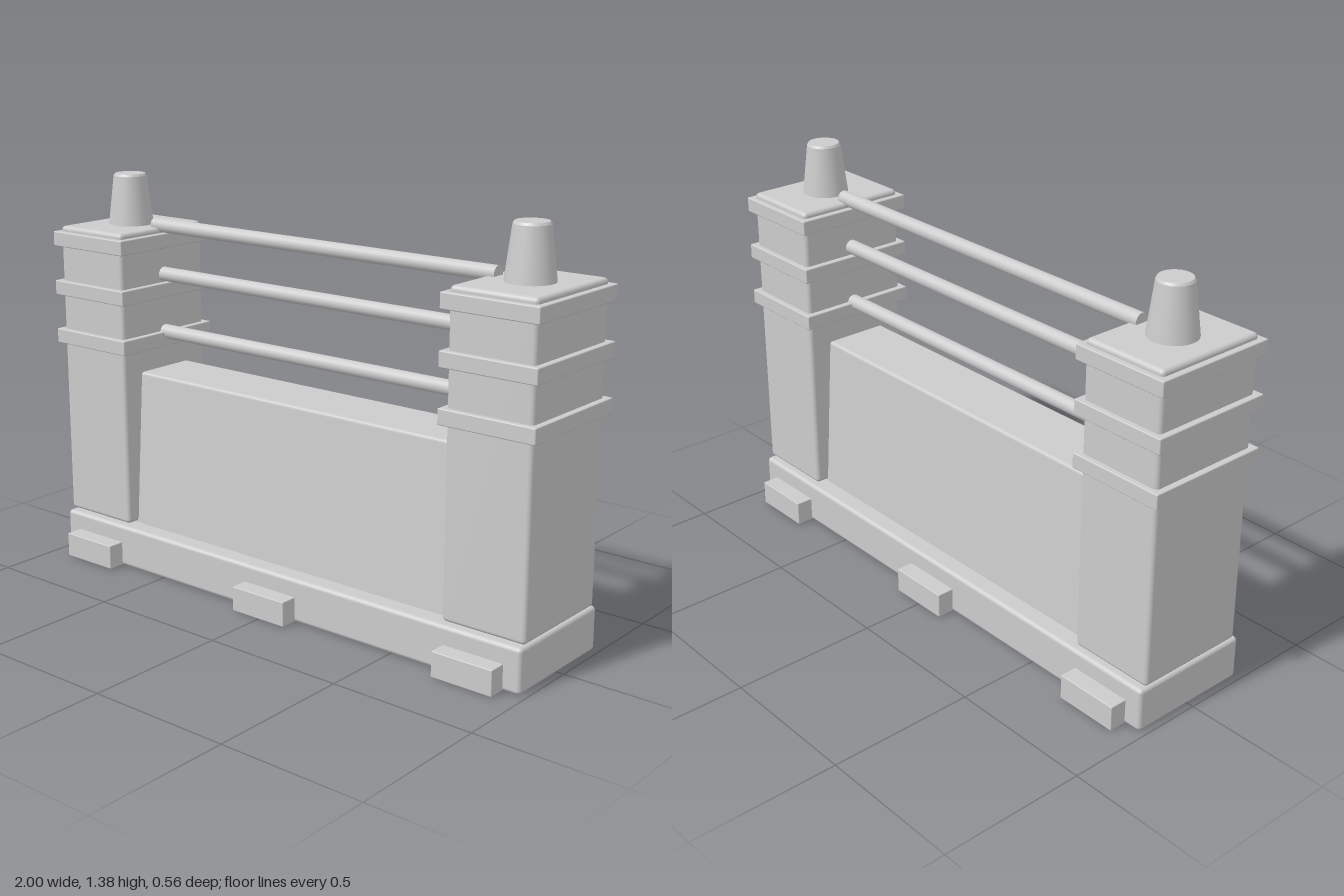
import * as THREE from 'three';
import { RoundedBoxGeometry } from 'three/addons/geometries/RoundedBoxGeometry.js';

export function createModel() {
  const model = new THREE.Group();
  model.name = 'barrier';
  const grey = new THREE.MeshStandardMaterial({ color: 0xcccccc });
  grey.name = 'light grey';

  function add(name, geometry, x, y, z, parent = model) {
    const mesh = new THREE.Mesh(geometry, grey);
    mesh.name = name;
    mesh.position.set(x, y, z);
    parent.add(mesh);
    return mesh;
  }
  const rounded = (w, h, d, r) => new RoundedBoxGeometry(w, h, d, 3, r);

  // Long plinth with three feet sticking out of each long side
  add('base', rounded(1.96, 0.15, 0.44, 0.014), 0, 0.075, 0);
  for (const x of [-0.81, 0, 0.81]) {
    for (const side of [-1, 1]) {
      add('foot', rounded(0.22, 0.086, 0.1, 0.003), x, 0.045, side * 0.23);
    }
  }

  // Tapered wall: a trapezoid section with softened top corners, run along x
  const section = new THREE.Shape();
  section.moveTo(-0.155, 0.14);
  section.lineTo(0.155, 0.14);
  section.lineTo(0.116, 0.69);
  section.quadraticCurveTo(0.115, 0.7, 0.105, 0.7);
  section.lineTo(-0.105, 0.7);
  section.quadraticCurveTo(-0.115, 0.7, -0.116, 0.69);
  section.closePath();
  const wall = new THREE.ExtrudeGeometry(section, { depth: 1.4, bevelEnabled: false, curveSegments: 4 });
  wall.translate(0, 0, -0.7);
  wall.rotateY(Math.PI / 2);
  add('wall', wall, 0, 0, 0);

  // Banded pillars with a tapered cap at each end
  const cap = new THREE.LatheGeometry(
    [[0, 0], [0.079, 0], [0.079, 0], [0.058, 0.17], [0.058, 0.17], [0.053, 0.178], [0.053, 0.178], [0, 0.178]]
      .map(([r, y]) => new THREE.Vector2(r, y)), 32);
  for (const side of [-1, 1]) {
    const pillar = new THREE.Group();
    pillar.name = side > 0 ? 'leftPillar' : 'rightPillar';
    pillar.position.x = side * 0.83;
    model.add(pillar);
    add('post', rounded(0.3, 1.046, 0.4, 0.014), 0, 0.677, 0, pillar);
    for (const y of [0.805, 0.98, 1.155]) {
      add('band', rounded(0.34, 0.052, 0.436, 0.004), 0, y, 0, pillar);
    }
    add('cap', cap, 0, 1.2, 0, pillar);
  }

  // Three round rails spanning the pillars
  for (const y of [0.828, 1.035, 1.207]) {
    const rail = new THREE.CylinderGeometry(0.025, 0.025, 1.43, 20);
    rail.rotateZ(Math.PI / 2);
    add('rail', rail, 0, y, -0.006);
  }

  return model;
}
